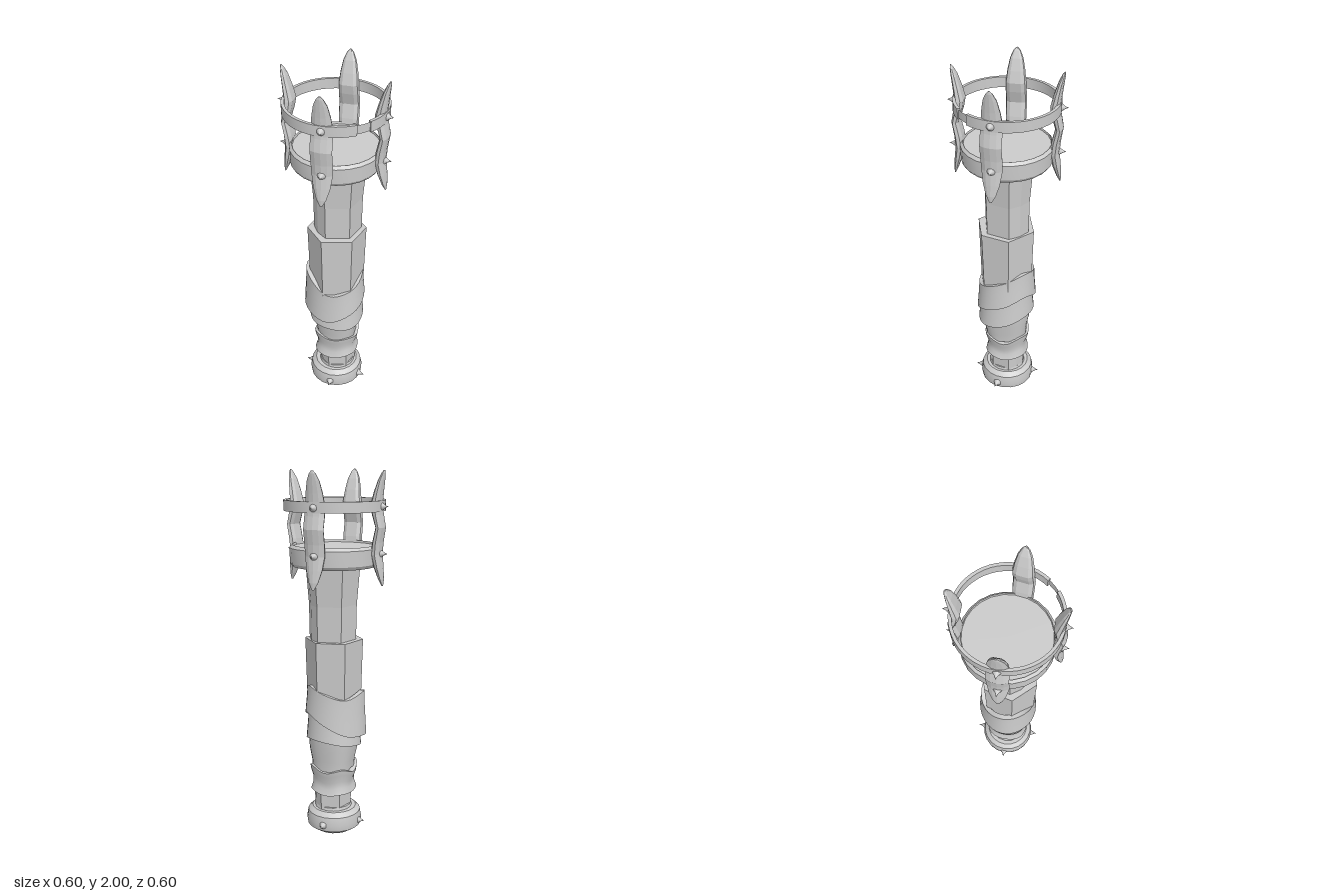
import * as THREE from 'three';
import { toCreasedNormals } from 'three/addons/utils/BufferGeometryUtils.js';

const RAD = Math.PI / 180;
const flat = new THREE.MeshStandardMaterial({ color: 0xcccccc, flatShading: true });
const smooth = new THREE.MeshStandardMaterial({ color: 0xcccccc });
const thin = new THREE.MeshStandardMaterial({ color: 0xcccccc, side: THREE.DoubleSide });

function add(parent, name, geometry, material, x = 0, y = 0, z = 0) {
  const mesh = new THREE.Mesh(geometry, material);
  mesh.name = name;
  mesh.position.set(x, y, z);
  parent.add(mesh);
}

// Skin over rings of [x, y, z] points, listed bottom to top
function loft(rings, capped = true) {
  const n = rings[0].length, idx = [];
  for (let r = 0; r < rings.length - 1; r++) {
    for (let i = 0; i < n; i++) {
      const a = r * n + i, b = r * n + (i + 1) % n;
      idx.push(a, a + n, b, b, a + n, b + n);
    }
  }
  if (capped) {
    const top = (rings.length - 1) * n;
    for (let i = 1; i < n - 1; i++) idx.push(0, i, i + 1, top, top + i + 1, top + i);
  }
  const g = new THREE.BufferGeometry();
  g.setAttribute('position', new THREE.Float32BufferAttribute(rings.flat(2), 3));
  g.setIndex(idx);
  g.computeVertexNormals();
  return g;
}

// Smooth closed interpolation of values spaced evenly around the axis
function around(values, u) {
  const n = values.length, f = u * n, i = Math.floor(f), t = f - i;
  const v = k => values[(i + k + n) % n];
  return 0.5 * (2 * v(0) + (v(1) - v(-1)) * t + (2 * v(-1) - 5 * v(0) + 4 * v(1) - v(2)) * t * t
    + (3 * v(0) - v(-1) - 3 * v(1) + v(2)) * t * t * t);
}

// Loose wrap: radius, bottom and top edge vary around; rows are [height fraction, radius offset]
function wrap(radius, bottom, top, rows, cx) {
  const n = 32;
  return toCreasedNormals(loft(rows.map(([t, dr]) => Array.from({ length: n }, (_, i) => {
    const u = i / n, a = u * Math.PI * 2, r = around(radius, u) + dr;
    const lo = around(bottom, u), hi = around(top, u);
    return [cx + r * Math.cos(a), lo + (hi - lo) * t, r * Math.sin(a)];
  })), false), 0.6);
}

const lathe = (pts, n) => new THREE.LatheGeometry(pts.map(p => new THREE.Vector2(...p)), n);

// Rounded stud with a pointed tip, pointing along +x
function stud(s) {
  const g = lathe([[s, -s * 0.5], [s, 0], [s * 0.85, s * 0.45], [s * 0.5, s * 0.85], [s * 0.22, s * 1.3], [0, s * 1.9]], 10);
  return g.rotateZ(-Math.PI / 2);
}

// Curved claw standing along y: rows are [y, radial position, half width, half thickness]
function claw() {
  const section = [[-1, -0.55], [-0.5, -0.9], [0.25, -1], [0.8, -0.55], [1, 0], [0.8, 0.55], [0.25, 1], [-0.5, 0.9], [-1, 0.55]];
  const rows = [
    [1.415, 0.272, 0.006, 0.003], [1.45, 0.265, 0.025, 0.012], [1.51, 0.252, 0.043, 0.02],
    [1.58, 0.24, 0.053, 0.024], [1.64, 0.246, 0.055, 0.022], [1.715, 0.26, 0.055, 0.019],
    [1.78, 0.244, 0.055, 0.023], [1.83, 0.237, 0.053, 0.025], [1.89, 0.247, 0.046, 0.02],
    [1.95, 0.26, 0.034, 0.014], [1.985, 0.27, 0.018, 0.008], [2.0, 0.274, 0.005, 0.003],
  ];
  return loft(rows.map(([y, r, w, t]) => section.map(([a, b]) => [r + a * t, y, b * w])));
}

export function createModel() {
  const model = new THREE.Group();
  model.name = 'torch';

  // Pommel with a neck ring and four studs
  const base = lathe([[0, 0.002], [0.105, 0.004], [0.15, 0.035], [0.155, 0.07], [0.147, 0.115], [0.122, 0.138], [0, 0.138]], 20);
  add(model, 'pommel', toCreasedNormals(base, 0.5), smooth, 0.005, 0, 0);
  add(model, 'neckRing', new THREE.CylinderGeometry(0.1, 0.105, 0.022, 16), flat, 0.01, 0.143, 0);
  for (const deg of [14, 90, 180, 270]) {
    const pivot = new THREE.Group();
    pivot.name = 'pommelStudPivot';
    pivot.position.set(0.007, 0.068, 0);
    pivot.rotation.y = -deg * RAD;
    add(pivot, 'pommelStud', stud(0.03), smooth, 0.132);
    model.add(pivot);
  }

  // Faceted shaft, flaring towards the head
  const shaft = [[0.12, 0.102], [0.5, 0.108], [1.1, 0.127], [1.3, 0.13], [1.52, 0.148]];
  const shaftAngles = [-14, 46, 106, 136, 166, 226, 286, 316];
  add(model, 'shaft', loft(shaft.map(([y, r]) => shaftAngles.map(deg => {
    const s = deg === 136 || deg === 316 ? r * 0.95 : r;
    return [0.013 + s * Math.cos(deg * RAD), y, s * Math.sin(deg * RAD)];
  }))), flat);

  // Six-sided grip sleeve
  const corners = [[0.163, -0.032], [0.122, 0.118], [-0.033, 0.164], [-0.144, 0.048], [-0.105, -0.108], [0.045, -0.15]];
  add(model, 'gripSleeve', loft([[0.52, 0.82], [0.75, 0.94], [1.11, 1]].map(([y, s]) =>
    corners.map(([x, z]) => [x * s, y, z * s]))), flat);

  // Cloth and leather wraps, values every 45 degrees starting at +x
  const edge = [[0, -0.03], [0, 0.004], [0.3, 0], [0.7, -0.006], [1, -0.008], [1, -0.035]];
  add(model, 'upperWrap', wrap(
    [0.163, 0.174, 0.164, 0.164, 0.174, 0.164, 0.157, 0.158],
    [0.66, 0.61, 0.555, 0.57, 0.585, 0.6, 0.66, 0.71],
    [0.82, 0.77, 0.74, 0.8, 0.83, 0.8, 0.83, 0.86], edge, 0), thin);
  add(model, 'lowerWrap', wrap(
    [0.158, 0.168, 0.155, 0.146, 0.142, 0.148, 0.148, 0.152],
    [0.52, 0.495, 0.5, 0.5, 0.52, 0.54, 0.56, 0.56],
    [0.68, 0.65, 0.62, 0.62, 0.63, 0.65, 0.7, 0.73], edge, 0), thin);
  const flare = [[0, -0.03], [0, 0], [0.3, 0.004], [0.65, 0.017], [1, 0.022], [1, -0.03]];
  add(model, 'upperCuff', wrap(
    [0.108, 0.12, 0.118, 0.12, 0.11, 0.118, 0.112, 0.118],
    [0.37, 0.35, 0.375, 0.36, 0.38, 0.36, 0.375, 0.36],
    [0.55, 0.52, 0.52, 0.53, 0.55, 0.57, 0.58, 0.57], flare, 0.01), thin);
  const waist = [[0, -0.03], [0, 0.008], [0.25, -0.004], [0.5, -0.006], [0.8, 0.008], [1, 0.012], [1, -0.03]];
  add(model, 'lowerCuff', wrap(
    [0.114, 0.122, 0.114, 0.124, 0.112, 0.122, 0.114, 0.122],
    [0.235, 0.25, 0.235, 0.245, 0.24, 0.245, 0.235, 0.25],
    [0.36, 0.39, 0.38, 0.4, 0.36, 0.39, 0.37, 0.4], waist, 0.008), thin);

  // Head: flat dish with a bevelled rim
  const dish = [[0, 1.515], [0.205, 1.515], [0.222, 1.508], [0.234, 1.525], [0.237, 1.605], [0.223, 1.62], [0.221, 1.608], [0, 1.608]];
  add(model, 'dish', toCreasedNormals(lathe(dish, 24), 0.4), smooth, 0.004, 0, 0);

  // Hoop around the claws; a thin strip joins its two ends
  const arc = new THREE.Shape();
  arc.absarc(0, 0, 0.266, 53 * RAD, 397 * RAD, false);
  arc.absarc(0, 0, 0.25, 397 * RAD, 53 * RAD, true);
  const hoop = new THREE.ExtrudeGeometry(arc, { depth: 0.055, bevelEnabled: false, curveSegments: 24 });
  add(model, 'hoop', toCreasedNormals(hoop.rotateX(Math.PI / 2), 0.5), smooth, 0.002, 1.85, 0);
  const strip = new THREE.CylinderGeometry(0.26, 0.26, 0.045, 2, 1, true, 36 * RAD, 18 * RAD);
  add(model, 'hoopJoint', strip, thin, 0.002, 1.8225, 0);

  // Four claws, each pinned by two studs
  for (const deg of [8, 90, 181, 270]) {
    const arm = new THREE.Group();
    arm.name = 'clawArm';
    arm.position.x = 0.002;
    arm.rotation.y = -deg * RAD;
    add(arm, 'claw', claw(), flat);
    add(arm, 'upperClawStud', stud(0.023), smooth, 0.256, 1.82);
    add(arm, 'lowerClawStud', stud(0.027), smooth, 0.247, 1.582);
    model.add(arm);
  }
  return model;
}
